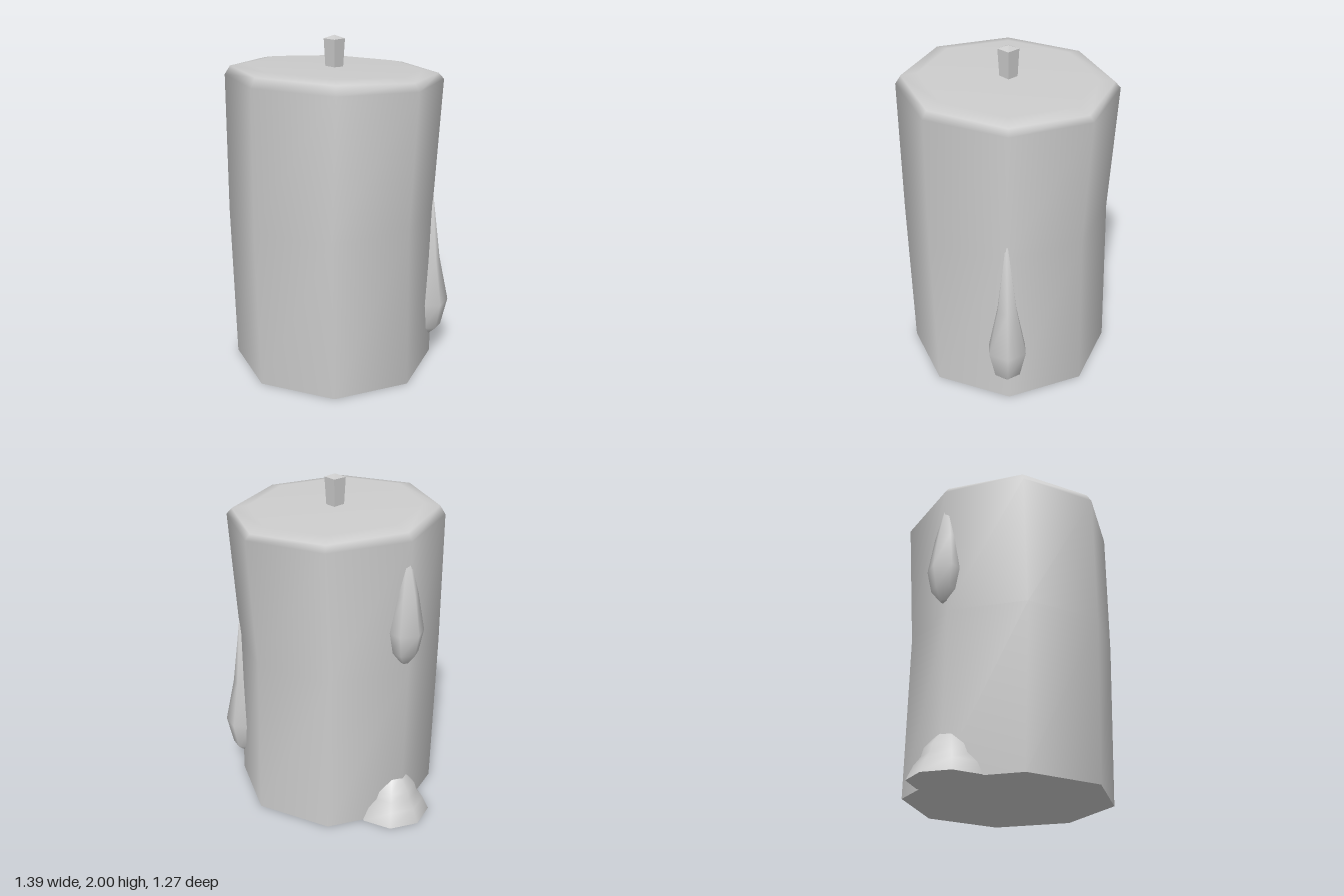
import * as THREE from 'three';

// Smooth closed loft. Each ring is [y, radius, zOffset, slope]; slope tilts the ring up toward +z.
// The bottom is a sharp flat cap, the top closes into a centre point at tipY.
function loft(rings, sides, phase, tipY) {
  const pos = [], idx = [];
  const ringPoints = ([y, r, dz = 0, slope = 0]) => {
    for (let i = 0; i < sides; i++) {
      const a = phase + (i / sides) * Math.PI * 2;
      const z = r * Math.cos(a);
      pos.push(r * Math.sin(a), y + z * slope, z + dz);
    }
  };
  rings.forEach(ringPoints);
  for (let k = 0; k < rings.length - 1; k++) {
    for (let i = 0; i < sides; i++) {
      const j = (i + 1) % sides;
      const a = k * sides + i, b = k * sides + j;
      idx.push(a, b, b + sides, a, b + sides, a + sides);
    }
  }
  // top fan
  const last = (rings.length - 1) * sides;
  const tip = pos.length / 3;
  pos.push(0, tipY, rings[rings.length - 1][2] || 0);
  for (let i = 0; i < sides; i++) idx.push(last + i, last + (i + 1) % sides, tip);
  // bottom fan with its own vertices
  const base = pos.length / 3;
  ringPoints(rings[0]);
  const centre = pos.length / 3;
  pos.push(0, rings[0][0], rings[0][2] || 0);
  for (let i = 0; i < sides; i++) idx.push(base + (i + 1) % sides, base + i, centre);

  const g = new THREE.BufferGeometry();
  g.setAttribute('position', new THREE.Float32BufferAttribute(pos, 3));
  g.setIndex(idx);
  g.computeVertexNormals();
  return g;
}

export function createModel() {
  const group = new THREE.Group();
  const wax = new THREE.MeshStandardMaterial({ color: 0xcccccc });
  wax.name = 'wax grey';

  const add = (name, geometry, x, y, z) => {
    const mesh = new THREE.Mesh(geometry, wax);
    mesh.name = name;
    mesh.position.set(x, y, z);
    group.add(mesh);
    return mesh;
  };

  // Octagonal body with a slight bend, a rounded rim and a sloping top
  add('candleBody', loft([
    [0, 0.61],
    [0.97, 0.613, 0.027],
    [1.76, 0.635, 0, 0.03],
    [1.803, 0.603, 0, 0.05],
    [1.82, 0.51, 0, 0.053],
  ], 8, 0, 1.82), 0.06, 0, 0);

  // Square wick, wider at the top, with a low point
  const wick = loft([
    [1.78, 0.049],
    [1.98, 0.061],
  ], 4, Math.PI / 4, 2).toNonIndexed();
  wick.computeVertexNormals();
  add('wick', wick, 0.058, 0, 0);

  // Hexagonal wax drops running down the side
  add('leftSideDrip', loft([
    [1.033, 0.025],
    [1.1, 0.08],
    [1.23, 0.107],
    [1.45, 0.068],
  ], 6, Math.PI / 2, 1.72), -0.545, 0, 0);

  add('backDrip', loft([
    [0.137, 0.025],
    [0.19, 0.083],
    [0.36, 0.122],
    [0.64, 0.062],
  ], 6, THREE.MathUtils.degToRad(17), 1.12), 0.485, 0, -0.408);

  // Stepped pool of wax at the foot
  add('waxPuddle', loft([
    [0, 0.228],
    [0.08, 0.19],
    [0.13, 0.152],
    [0.18, 0.138],
    [0.25, 0.075],
  ], 8, 0, 0.3), -0.47, 0, 0);

  return group;
}
